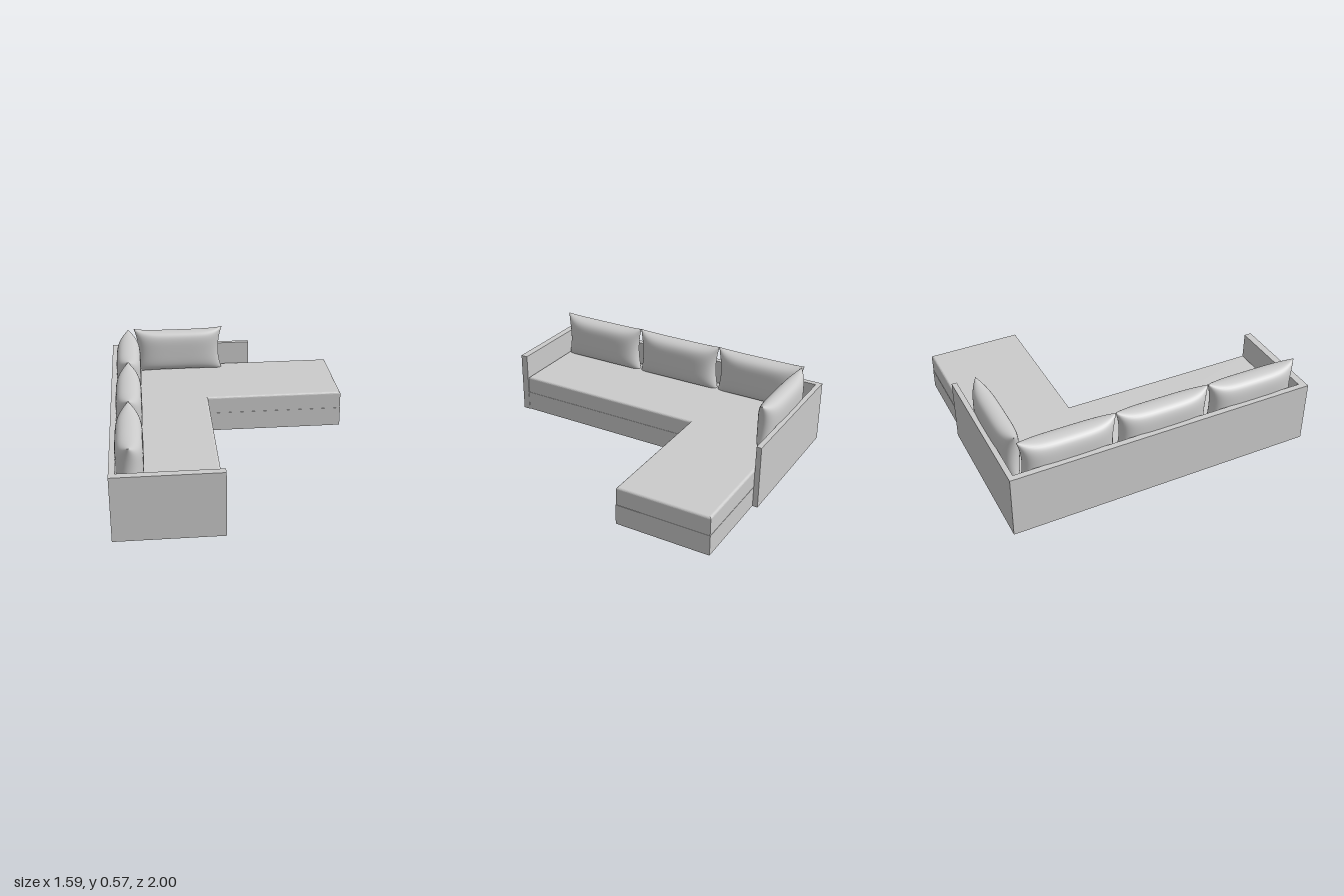
import * as THREE from 'three';
import { mergeGeometries, mergeVertices } from 'three/addons/utils/BufferGeometryUtils.js';

const material = new THREE.MeshStandardMaterial({ color: 0xcccccc });

function addMesh(parent, name, geometry) {
  const mesh = new THREE.Mesh(geometry, material);
  mesh.name = name;
  parent.add(mesh);
  return mesh;
}

// Box given by its minimum and maximum corners
function addPanel(parent, name, [x0, y0, z0], [x1, y1, z1]) {
  const mesh = addMesh(parent, name, new THREE.BoxGeometry(x1 - x0, y1 - y0, z1 - z0));
  mesh.position.set((x0 + x1) / 2, (y0 + y1) / 2, (z0 + z1) / 2);
}

// L-shaped slab from y0 to y1, its outline inset, with optional rounded edges
function slabGeometry(y0, y1, inset, bevel) {
  const i = inset + bevel;
  const left = -0.757 + i, right = 0.79 - i, inner = -0.14 - i;
  const back = -0.967 + i, notch = -0.35 - i, front = 0.953 - i;
  const shape = new THREE.Shape([
    [left, -front], [inner, -front], [inner, -notch],
    [right, -notch], [right, -back], [left, -back],
  ].map(([x, y]) => new THREE.Vector2(x, y)));
  const geometry = new THREE.ExtrudeGeometry(shape, {
    depth: y1 - y0 - 2 * bevel, bevelEnabled: bevel > 0,
    bevelSize: bevel, bevelThickness: bevel, bevelSegments: 5,
  });
  geometry.rotateX(-Math.PI / 2);
  geometry.translate(0, y0 + bevel, 0);
  return geometry;
}

// Plump pillow in the xy plane: pinched outline, two bulging faces sewn at the rim
function pillowGeometry(width, height, thickness) {
  const face = new THREE.PlaneGeometry(2, 2, 40, 28);
  const p = face.attributes.position;
  for (let k = 0; k < p.count; k++) {
    const u = Math.sin(p.getX(k) * Math.PI / 2);
    const v = Math.sin(p.getY(k) * Math.PI / 2);
    const bulge = Math.sqrt(Math.max(0, (1 - u ** 4) * (1 - v ** 4)));
    p.setXYZ(k,
      u * width / 2 * (1 - 0.09 * u * u * (1 - v * v)),
      v * height / 2 * (1 - 0.11 * v * v * (1 - u ** 4)),
      bulge * thickness / 2);
  }
  face.deleteAttribute('uv');
  face.deleteAttribute('normal');
  const geometry = mergeVertices(mergeGeometries([face, face.clone().rotateY(Math.PI)]), 1e-5);
  geometry.computeVertexNormals();
  return geometry;
}

export function createModel() {
  const sofa = new THREE.Group();
  sofa.name = 'cornerSofa';

  // Plinth and seat cushion
  addMesh(sofa, 'base', slabGeometry(0.002, 0.135, 0, 0));
  addMesh(sofa, 'seatCushion', slabGeometry(0.12, 0.255, 0.002, 0.015));

  // Thin upright panels: long back, short return and end arm
  addPanel(sofa, 'longBackPanel', [-0.795, 0, -1], [-0.757, 0.415, 1]);
  addPanel(sofa, 'shortBackPanel', [-0.757, 0, -1], [0.205, 0.415, -0.967]);
  addPanel(sofa, 'armPanel', [-0.757, 0, 0.953], [-0.138, 0.415, 1]);

  // Three pillows along the long back
  const longPillow = pillowGeometry(0.62, 0.33, 0.168);
  for (const z of [-0.597, 0.02, 0.64]) {
    const pillow = addMesh(sofa, 'longBackPillow', longPillow);
    pillow.position.set(-0.678, 0.4, z);
    pillow.rotation.y = Math.PI / 2;
  }

  // One pillow on the short return
  const pillow = addMesh(sofa, 'shortBackPillow', pillowGeometry(0.64, 0.335, 0.138));
  pillow.position.set(-0.318, 0.404, -0.902);

  return sofa;
}
